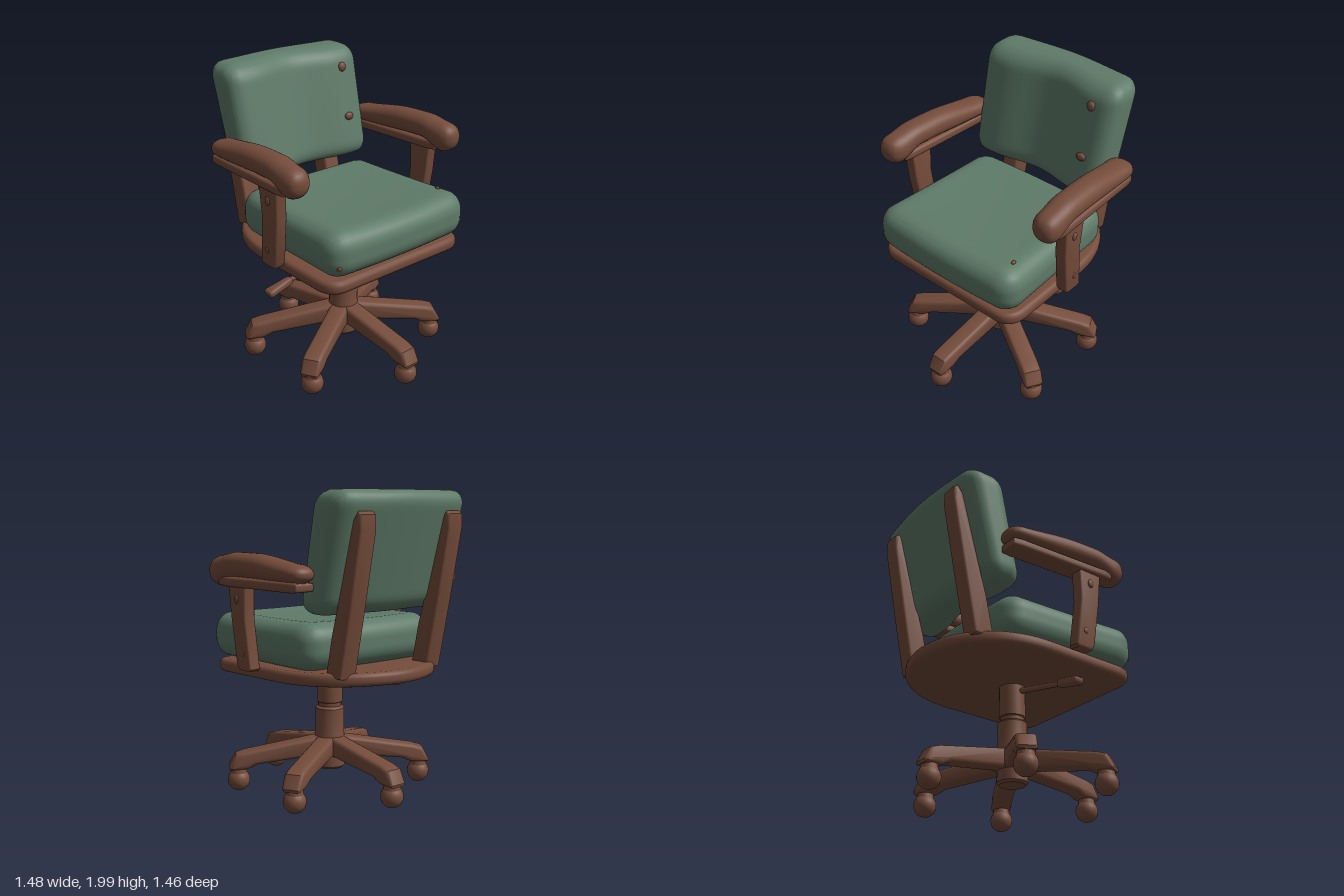
import * as THREE from 'three';
import { mergeVertices, toCreasedNormals } from 'three/addons/utils/BufferGeometryUtils.js';

const green = new THREE.MeshStandardMaterial({ color: 0x5f7b69 });
green.name = 'green upholstery';
const brown = new THREE.MeshStandardMaterial({ color: 0x754c3b });
brown.name = 'brown wood';

const CX = 0.05, CZ = -0.01; // column axis
const { lerp, smoothstep, clamp } = THREE.MathUtils;

function add(parent, name, geometry, material, x = 0, y = 0, z = 0) {
  const mesh = new THREE.Mesh(geometry, material);
  mesh.name = name;
  mesh.position.set(x, y, z);
  parent.add(mesh);
  return mesh;
}

// Finely divided rounded box (half sizes, radius), then bent by a rule
function softBox(hx, hy, hz, r, n, warp) {
  const g = new THREE.BoxGeometry(2 * hx, 2 * hy, 2 * hz, n, n, n);
  g.deleteAttribute('normal');
  g.deleteAttribute('uv');
  const p = g.attributes.position, v = new THREE.Vector3(), c = new THREE.Vector3();
  const inner = new THREE.Vector3(hx - r, hy - r, hz - r), outer = inner.clone().negate();
  for (let i = 0; i < p.count; i++) {
    v.fromBufferAttribute(p, i);
    c.copy(v).clamp(outer, inner);
    v.sub(c).normalize().multiplyScalar(r).add(c);
    if (warp) warp(v);
    p.setXYZ(i, v.x, v.y, v.z);
  }
  const merged = mergeVertices(g, 1e-5);
  merged.computeVertexNormals();
  return merged;
}

// Side profile extruded with a small bevel, centred on its thickness
function slab(points, width, bevel) {
  const shape = points instanceof THREE.Shape ? points
    : new THREE.Shape(points.map(([x, y]) => new THREE.Vector2(x, y)));
  const g = new THREE.ExtrudeGeometry(shape, {
    depth: width - 2 * bevel, bevelEnabled: true, bevelThickness: bevel, bevelSize: bevel,
    bevelOffset: -bevel, bevelSegments: 3, curveSegments: 16,
  });
  g.translate(0, 0, -width / 2 + bevel);
  return toCreasedNormals(g, 0.7);
}

function blob(parent, name, x, y, z, sx, sy, sz) {
  add(parent, name, new THREE.SphereGeometry(1, 12, 8), brown, x, y, z).scale.set(sx, sy, sz);
}

function addBase(chair) {
  const base = new THREE.Group();
  base.name = 'base';
  base.position.set(CX, 0, CZ);
  chair.add(base);

  const leg = slab([[0, 0.37], [0.06, 0.365], [0.58, 0.275], [0.64, 0.255], [0.685, 0.17], [0.68, 0.15],
    [0.56, 0.155], [0.5, 0.185], [0.1, 0.23], [0, 0.23]], 0.13, 0.025);
  const ball = new THREE.SphereGeometry(0.075, 20, 14);
  const neck = new THREE.CylinderGeometry(0.05, 0.06, 0.06, 16);
  for (let i = 0; i < 6; i++) {
    const spoke = new THREE.Group();
    spoke.name = 'spoke';
    spoke.rotation.y = i * Math.PI / 3;
    base.add(spoke);
    add(spoke, 'leg', leg, brown);
    add(spoke, 'casterNeck', neck, brown, 0.62, 0.14, 0);
    add(spoke, 'caster', ball, brown, 0.62, 0.078, 0);
  }

  // Turned column from the hub up to the seat
  const profile = [[0, 0.14], [0.085, 0.14], [0.1, 0.155], [0.1, 0.36], [0.097, 0.37], [0.097, 0.55],
    [0.09, 0.56], [0.078, 0.565], [0.078, 0.59], [0.086, 0.595], [0.086, 0.83], [0, 0.83]];
  const column = new THREE.LatheGeometry(profile.map(([x, y]) => new THREE.Vector2(x, y)), 28);
  add(base, 'column', toCreasedNormals(column, 0.6), brown);
}

function addLever(chair) {
  const lever = new THREE.Group();
  lever.name = 'lever';
  lever.position.set(0.065, 0.775, 0.03);
  lever.rotation.x = Math.atan2(0.13, 0.6); // slopes down toward +z
  chair.add(lever);
  const rod = new THREE.CylinderGeometry(0.016, 0.02, 0.46, 12);
  rod.rotateX(Math.PI / 2);
  add(lever, 'leverRod', rod, brown, 0, 0, 0.23);
  const grip = softBox(0.042, 0.026, 0.1, 0.022, 8, v => { v.x *= 0.8 + 2 * v.z; });
  add(lever, 'leverGrip', grip, brown, 0, 0, 0.53);
}

function addSeat(chair) {
  // Board with rounded front corners and a bowed back
  const s = new THREE.Shape();
  s.moveTo(0.61, -0.44);
  s.lineTo(0.61, 0.44);
  s.quadraticCurveTo(0.61, 0.57, 0.47, 0.58);
  s.lineTo(-0.1, 0.58);
  s.bezierCurveTo(-0.46, 0.57, -0.67, 0.32, -0.68, 0);
  s.bezierCurveTo(-0.67, -0.32, -0.46, -0.57, -0.1, -0.58);
  s.lineTo(0.47, -0.58);
  s.quadraticCurveTo(0.61, -0.57, 0.61, -0.44);
  const board = add(chair, 'seatBoard', slab(s, 0.085, 0.03), brown, 0, 0.85, 0);
  board.rotation.set(Math.PI / 2, -0.02, 0);

  const cushion = softBox(0.52, 0.155, 0.585, 0.13, 28, v => {
    const t = v.x / 0.52;
    v.z *= 0.96 + 0.04 * t;
    if (v.y > 0) v.y -= 0.025 * (1 - (v.z / 0.58) ** 2) * (1 - t * t); // slight dip
    v.x += 0.03 * t * (1 - (v.z / 0.6) ** 2) - 0.015 * t;
  });
  add(chair, 'seatCushion', cushion, green, 0.125, 1.045, -0.005);
  blob(chair, 'seatStud', 0.46, 1.195, -0.47, 0.018, 0.014, 0.012);
  blob(chair, 'seatStud', 0.605, 0.985, 0.51, 0.018, 0.02, 0.018);
}

function addBack(chair) {
  // Leaning cushion, curved around the sitter
  const cushion = softBox(0.14, 0.375, 0.54, 0.105, 28, v => {
    const up = v.y / 0.375, z = v.z / 0.54;
    const front = 0.06 * smoothstep(Math.abs(v.z), 0, 0.36), rear = 0.05 * z * z;
    const f = clamp((v.x + 0.14) / 0.28, 0, 1);
    v.x = v.x * (0.93 + 0.07 * up) + lerp(rear, front, f) - 0.515 - v.y * 0.25;
    v.z *= 0.985 + 0.015 * up;
  });
  add(chair, 'backCushion', cushion, green, 0, 1.622, -0.003);

  const post = slab([[-0.55, 0.87], [-0.41, 0.87], [-0.47, 1.15], [-0.53, 1.35], [-0.66, 1.82],
    [-0.7, 1.87], [-0.728, 1.85], [-0.73, 1.76], [-0.64, 1.3]], 0.13, 0.018);
  for (const side of [1, -1]) add(chair, 'backPost', post, brown, 0, 0, side * 0.36);

  blob(chair, 'backStud', -0.385, 1.86, -0.37, 0.025, 0.035, 0.032);
  blob(chair, 'backStud', -0.305, 1.53, -0.37, 0.022, 0.028, 0.036);
}

function addArm(chair, side) {
  const arm = new THREE.Group();
  arm.name = side > 0 ? 'leftArm' : 'rightArm';
  chair.add(arm);

  // Pad that swells upward and droops at the front
  const pad = softBox(0.455, 0.09, 0.093, 0.085, 24, v => {
    const t = v.x / 0.455;
    const droop = smoothstep(t, 0.45, 0.85);
    const middle = 1.5 + 0.032 * smoothstep(t, -1, 0.2) - 0.045 * droop;
    const size = lerp(0.62, 0.87, smoothstep(t, -1, 0)) + 0.2 * droop;
    v.y = middle + v.y * size;
    v.z = side * 0.622 + v.z + side * 0.02 * t;
  });
  add(arm, 'armPad', pad, brown, -0.015, 0, 0);

  const rail = softBox(0.39, 0.033, 0.075, 0.025, 12, v => { v.z += side * 0.04 * v.x; });
  add(arm, 'armRail', rail, brown, -0.06, 1.425, side * 0.62);

  const post = slab([[0.04, 0.88], [0.055, 0.865], [0.165, 0.865], [0.185, 0.9], [0.225, 1.2],
    [0.24, 1.43], [0.06, 1.43], [0.075, 1.2]], 0.085, 0.015);
  const upright = add(arm, 'armPost', post, brown, 0, 0, side * 0.55);
  upright.rotation.x = side * 0.04;
  upright.position.z = side * (0.625 - 0.04 * 0.9);
  blob(arm, 'armScrew', 0.15, 1.32, side * 0.682, 0.022, 0.03, 0.014);
  blob(arm, 'armScrew', 0.11, 0.98, side * 0.667, 0.018, 0.022, 0.01);
}

export function createModel() {
  const chair = new THREE.Group();
  chair.name = 'officeChair';
  addBase(chair);
  addLever(chair);
  addSeat(chair);
  addBack(chair);
  for (const side of [1, -1]) addArm(chair, side);
  return chair;
}
